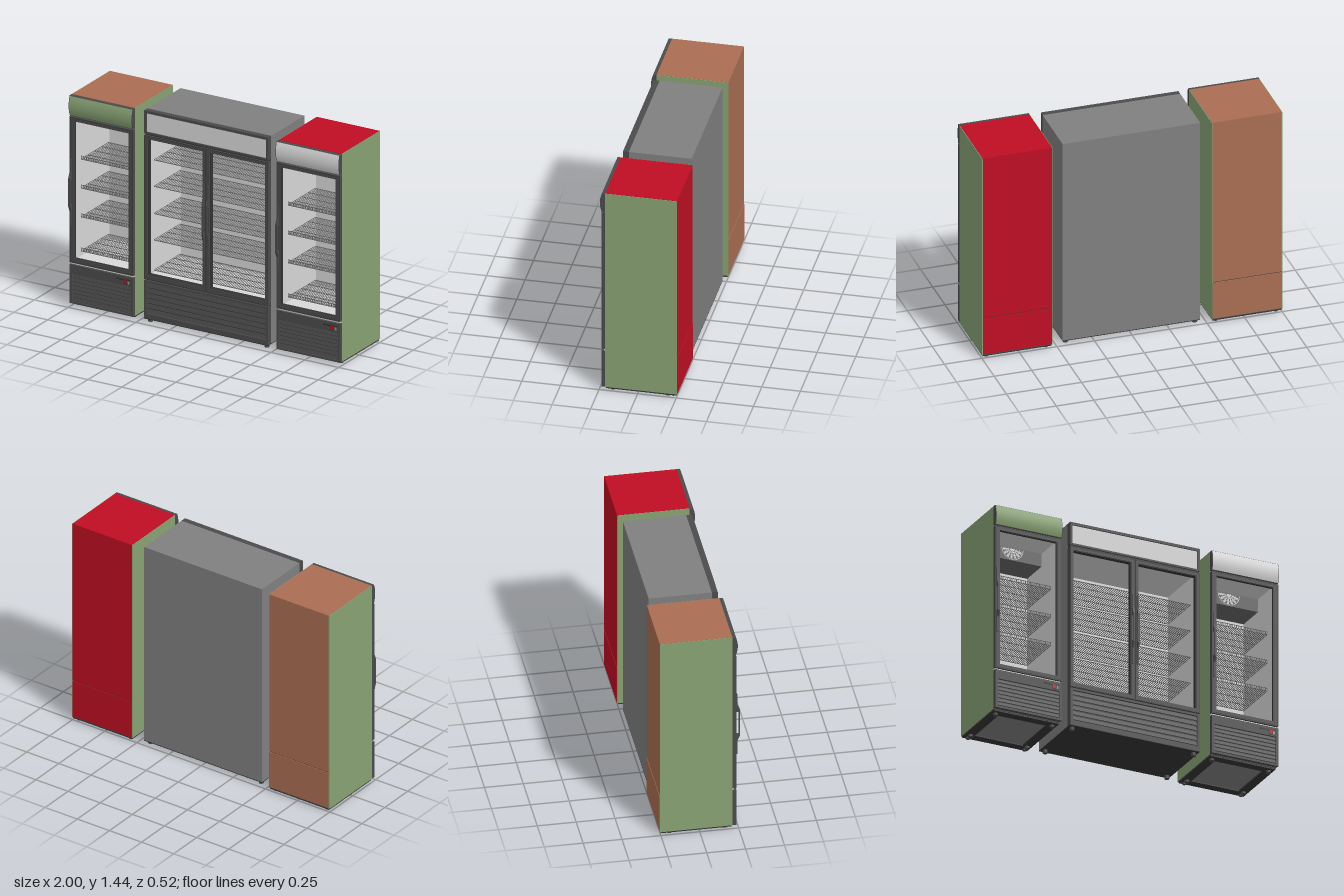
import * as THREE from 'three';
import { mergeGeometries } from 'three/addons/utils/BufferGeometryUtils.js';

const mat = (name, color, side = THREE.FrontSide) => {
  const m = new THREE.MeshStandardMaterial({ color, side });
  m.name = name;
  return m;
};

export function createModel() {
  const M = {
    dark: mat('dark trim', 0x4b4b4b), black: mat('black recess', 0x343434),
    mid: mat('shelf grey', 0x666666), grey: mat('cabinet grey', 0x808080),
    white: mat('liner white', 0xd8d8d8, THREE.DoubleSide), green: mat('side green', 0x88a274),
    red: mat('panel red', 0xc00e24), brown: mat('panel brown', 0xaa6e53),
  };

  const add = (parent, name, geo, material) => {
    const m = new THREE.Mesh(geo, material);
    m.name = name;
    parent.add(m);
    return m;
  };
  // Box from its limits on each axis
  const boxGeo = (x0, x1, y0, y1, z0, z1) =>
    new THREE.BoxGeometry(x1 - x0, y1 - y0, z1 - z0).translate((x0 + x1) / 2, (y0 + y1) / 2, (z0 + z1) / 2);
  const box = (p, name, material, ...b) => add(p, name, boxGeo(...b), material);
  // Rectangular ring in the xy plane with border widths for side, bottom and top
  const frame = (p, name, material, x0, x1, y0, y1, z0, z1, side, bottom = side, top = side) => {
    const rect = (C, a, b, c, d) => new C([[a, c], [b, c], [b, d], [a, d]].map(q => new THREE.Vector2(...q)));
    const s = rect(THREE.Shape, x0, x1, y0, y1);
    s.holes.push(rect(THREE.Path, x0 + side, x1 - side, y0 + bottom, y1 - top));
    add(p, name, new THREE.ExtrudeGeometry(s, { depth: z1 - z0, bevelEnabled: false }).translate(0, 0, z0), material);
  };
  // Side profile of [z, y] points extruded along x
  const profile = (pts, x0, x1, holes = []) => {
    const v = a => a.map(q => new THREE.Vector2(...q));
    const s = new THREE.Shape(v(pts));
    holes.forEach(h => s.holes.push(new THREE.Path(v(h))));
    return new THREE.ExtrudeGeometry(s, { depth: x1 - x0, bevelEnabled: false }).rotateY(-Math.PI / 2).translate(x1, 0, 0);
  };

  // White inner compartment, open at the front
  const liner = (p, hw, y0, y1, z0, z1) => {
    const t = 0.006;
    for (const s of [-1, 1]) box(p, 'linerSide', M.white, s * hw - t / 2, s * hw + t / 2, y0, y1, z0, z1);
    box(p, 'linerBack', M.white, -hw, hw, y0, y1, z0 - t, z0);
    box(p, 'linerFloor', M.white, -hw, hw, y0 - t, y0, z0, z1);
    box(p, 'linerCeiling', M.white, -hw, hw, y1, y1 + t, z0, z1);
  };

  // Wire shelf, with an optional railed front edge
  const shelf = (p, hw, y, z0, z1, n, rail) => {
    const g = [];
    for (let i = 0; i <= n; i++) {
      const x = -hw + (2 * hw * i) / n;
      g.push(boxGeo(x - 0.0015, x + 0.0015, y - 0.0015, y + 0.0015, z0, z1));
      if (rail) g.push(boxGeo(x - 0.0015, x + 0.0015, y, y + rail, z1 - 0.003, z1));
    }
    for (let i = 0; i <= 4; i++) {
      const z = z0 + ((z1 - z0) * i) / 4;
      g.push(boxGeo(-hw, hw, y - 0.004, y, z - 0.002, z + 0.002));
    }
    if (rail) g.push(boxGeo(-hw, hw, y + rail - 0.003, y + rail, z1 - 0.004, z1));
    add(p, 'wireShelf', mergeGeometries(g), M.mid);
  };

  // Row of tilted slats
  const louvres = (p, hw, y0, y1, z, n) => {
    const pitch = (y1 - y0) / n, g = [];
    for (let i = 0; i < n; i++)
      g.push(new THREE.BoxGeometry(2 * hw, pitch * 0.78, 0.005).rotateX(-0.22).translate(0, y0 + pitch * (i + 0.5), z));
    add(p, 'louvres', mergeGeometries(g), M.dark);
  };

  // Bow handle with a finger gap
  const handle = (p, x, z, yMid, half, out, w) => add(p, 'handle', profile(
    [[z, yMid - half], [z + 0.008, yMid - half], [z + 0.01, yMid - half * 0.55], [z + out, yMid - half * 0.38],
      [z + out, yMid + half * 0.45], [z + 0.01, yMid + half * 0.62], [z + 0.008, yMid + half], [z, yMid + half]],
    x - w / 2, x + w / 2,
    [[[z + 0.003, yMid - half * 0.34], [z + 0.003, yMid + half * 0.4], [z + out - 0.008, yMid + half * 0.4], [z + out - 0.008, yMid - half * 0.34]]]), M.dark);

  const feet = (p, xs, zs, r, h) => {
    for (const x of xs) for (const z of zs)
      add(p, 'foot', new THREE.CylinderGeometry(r, r, h, 16).translate(x, h / 2, z), M.dark);
  };

  // Single door cooler
  const singleCooler = (name, x, panel, sign) => {
    const g = new THREE.Group();
    g.name = name;
    g.position.x = x;
    const W = 0.235, zb = -0.255, zf = 0.21;
    // Cabinet shell
    for (const s of [-1, 1])
      box(g, 'sidePanel', M.green, s > 0 ? W - 0.006 : -W, s > 0 ? W : -W + 0.006, 0.025, 1.438, zb, zf);
    box(g, 'topPanel', panel, -W + 0.004, W - 0.004, 1.425, 1.44, zb, zf);
    box(g, 'backPanel', panel, -W + 0.005, W - 0.005, 0.293, 1.438, zb - 0.001, zb + 0.012);
    box(g, 'backSeam', M.black, -W + 0.006, W - 0.006, 0.285, 0.295, zb + 0.002, zb + 0.01);
    box(g, 'serviceCover', panel, -W + 0.005, W - 0.005, 0.03, 0.288, zb - 0.003, zb + 0.012);
    box(g, 'basePlate', M.dark, -W + 0.003, W - 0.003, 0.022, 0.035, zb + 0.002, zf);
    frame(g, 'baseRim', M.black, -W + 0.005, W - 0.005, -zf + 0.005, -zb - 0.005, 0, 0.008, 0.06);
    g.children.at(-1).geometry.rotateX(-Math.PI / 2).translate(0, 0.014, 0);
    box(g, 'basePanel', M.grey, -0.165, 0.165, 0.019, 0.022, -0.185, 0.14);
    feet(g, [-0.2, 0.2], [-0.19, 0.165], 0.017, 0.018);
    feet(g, [-0.2, 0.2], [-0.225], 0.012, 0.018);
    // Interior
    liner(g, 0.212, 0.318, 1.285, -0.21, zf);
    box(g, 'fanHousing', M.mid, -0.208, 0.208, 1.195, 1.284, -0.205, 0.0);
    const fan = new THREE.Group();
    fan.name = 'fan';
    fan.position.set(0, 1.275, 0.003);
    g.add(fan);
    const halfTurn = Math.PI;
    for (const r of [0.03, 0.05, 0.075]) {
      const t = add(fan, 'fanRing', new THREE.TorusGeometry(r, 0.003, 6, 24, halfTurn), M.white);
      t.rotation.z = Math.PI;
    }
    add(fan, 'fanHub', new THREE.CircleGeometry(0.018, 20, Math.PI, Math.PI), M.white);
    for (let i = 0; i < 7; i++) {
      const b = add(fan, 'fanBlade', new THREE.RingGeometry(0.02, 0.068, 6, 1, Math.PI + 0.05 + i * 0.44, 0.24), M.white);
      b.position.z = -0.001;
    }
    [0.355, 0.587, 0.783, 0.98].forEach(y => shelf(g, 0.205, y, -0.195, 0.14, 32, 0.02));
    // Door
    frame(g, 'doorFrame', M.dark, -W, W, 0.303, 1.296, zf, 0.235, 0.033, 0.03, 0.028);
    frame(g, 'doorGasket', M.black, -0.206, 0.206, 0.329, 1.272, zf + 0.002, 0.23, 0.006);
    frame(g, 'doorEdge', M.black, -W + 0.004, W - 0.004, 0.308, 1.292, 0.235, 0.236, 0.003);
    box(g, 'doorSill', M.white, -W + 0.003, W - 0.003, 0.29, 0.303, zf - 0.01, 0.22);
    handle(g, -0.222, 0.235, 0.78, 0.225, 0.026, 0.014);
    // Curved sign
    const y0 = 1.302, y1 = 1.438, bulge = y => 0.232 + 0.013 * (1 - ((y - 1.37) / 0.068) ** 2);
    const pts = [[zf, y0]];
    for (let i = 0; i <= 12; i++) {
      const y = y0 + ((y1 - y0) * i) / 12;
      pts.push([bulge(y), y]);
    }
    pts.push([zf, y1]);
    add(g, 'signBody', profile(pts, -W, W), M.dark);
    const skin = new THREE.PlaneGeometry(2 * W - 0.008, 0.13, 1, 16).translate(0, 1.37, 0);
    const P = skin.attributes.position;
    for (let i = 0; i < P.count; i++) P.setZ(i, bulge(P.getY(i)) + 0.0015);
    skin.computeVertexNormals();
    add(g, 'signFace', skin, sign);
    // Lower grille and controls
    box(g, 'grilleBack', M.black, -W + 0.002, W - 0.002, 0.028, 0.288, zf, 0.224);
    frame(g, 'grilleFrame', M.dark, -W, W, 0.026, 0.29, zf, 0.235, 0.018, 0.014, 0.062);
    louvres(g, 0.216, 0.042, 0.226, 0.229, 7);
    box(g, 'controlPanel', M.black, 0.11, 0.215, 0.262, 0.272, 0.234, 0.237);
    box(g, 'controlDisplay', M.black, 0.165, 0.215, 0.236, 0.272, 0.234, 0.237);
    box(g, 'powerSwitch', M.red, 0.17, 0.19, 0.24, 0.268, 0.236, 0.239);
    box(g, 'indicator', M.green, 0.197, 0.21, 0.24, 0.262, 0.236, 0.239);
    return g;
  };

  // Double door cooler
  const doubleCooler = () => {
    const g = new THREE.Group();
    g.name = 'doubleCooler';
    g.position.x = -0.002;
    const W = 0.458, zb = -0.232, zs = 0.175, zf = 0.213;
    // Cabinet shell
    for (const s of [-1, 1])
      box(g, 'sidePanel', M.grey, s > 0 ? W - 0.01 : -W, s > 0 ? W : -W + 0.01, 0.027, 1.44, zb, zs);
    box(g, 'topPanel', M.grey, -W + 0.01, W - 0.01, 1.42, 1.44, zb, zs);
    box(g, 'backPanel', M.grey, -W + 0.01, W - 0.01, 0.027, 1.42, zb, zb + 0.01);
    box(g, 'basePlate', M.black, -W, W, 0.022, 0.027, zb, zf);
    feet(g, [-0.43, 0.43], [-0.2, 0.18], 0.016, 0.022);
    // Interior
    liner(g, 0.44, 0.312, 1.268, -0.2, zs);
    [0.33, 0.535, 0.715, 0.9, 1.08].forEach(y => shelf(g, 0.436, y, -0.19, 0.13, 60, 0));
    // Header with light sign
    frame(g, 'headerFrame', M.dark, -W, W, 1.283, 1.44, zs, zf, 0.016, 0.012, 0.018);
    box(g, 'signFace', M.white, -W + 0.016, W - 0.016, 1.295, 1.422, zs, zf - 0.008);
    box(g, 'headerGap', M.black, -W + 0.003, W - 0.003, 1.268, 1.284, zs, zf - 0.01);
    // Pair of doors and handles
    for (const s of [-1, 1]) {
      const a = s > 0 ? 0.002 : -W, b = s > 0 ? W : -0.002;
      frame(g, 'doorFrame', M.dark, a, b, 0.292, 1.272, zs, zf, 0.024, 0.03, 0.024);
      frame(g, 'doorGasket', M.black, a + 0.02, b - 0.02, 0.318, 1.252, zs + 0.002, zf - 0.006, 0.007);
      frame(g, 'doorEdge', M.black, a + 0.002, b - 0.002, 0.294, 1.27, zf, zf + 0.001, 0.003);
      handle(g, s * 0.017, zf, 0.78, 0.24, 0.022, 0.011);
    }
    // Lower grille
    box(g, 'grilleBack', M.black, -W + 0.002, W - 0.002, 0.028, 0.29, zs, zf - 0.012);
    frame(g, 'grilleFrame', M.dark, -W, W, 0.027, 0.285, zs, zf, 0.018, 0.032, 0.015);
    louvres(g, 0.438, 0.06, 0.269, zf - 0.006, 6);
    return g;
  };

  const model = new THREE.Group();
  model.name = 'coolers';
  model.add(singleCooler('rightCooler', -0.765, M.brown, M.green), doubleCooler(),
    singleCooler('leftCooler', 0.765, M.red, M.white));
  return model;
}
